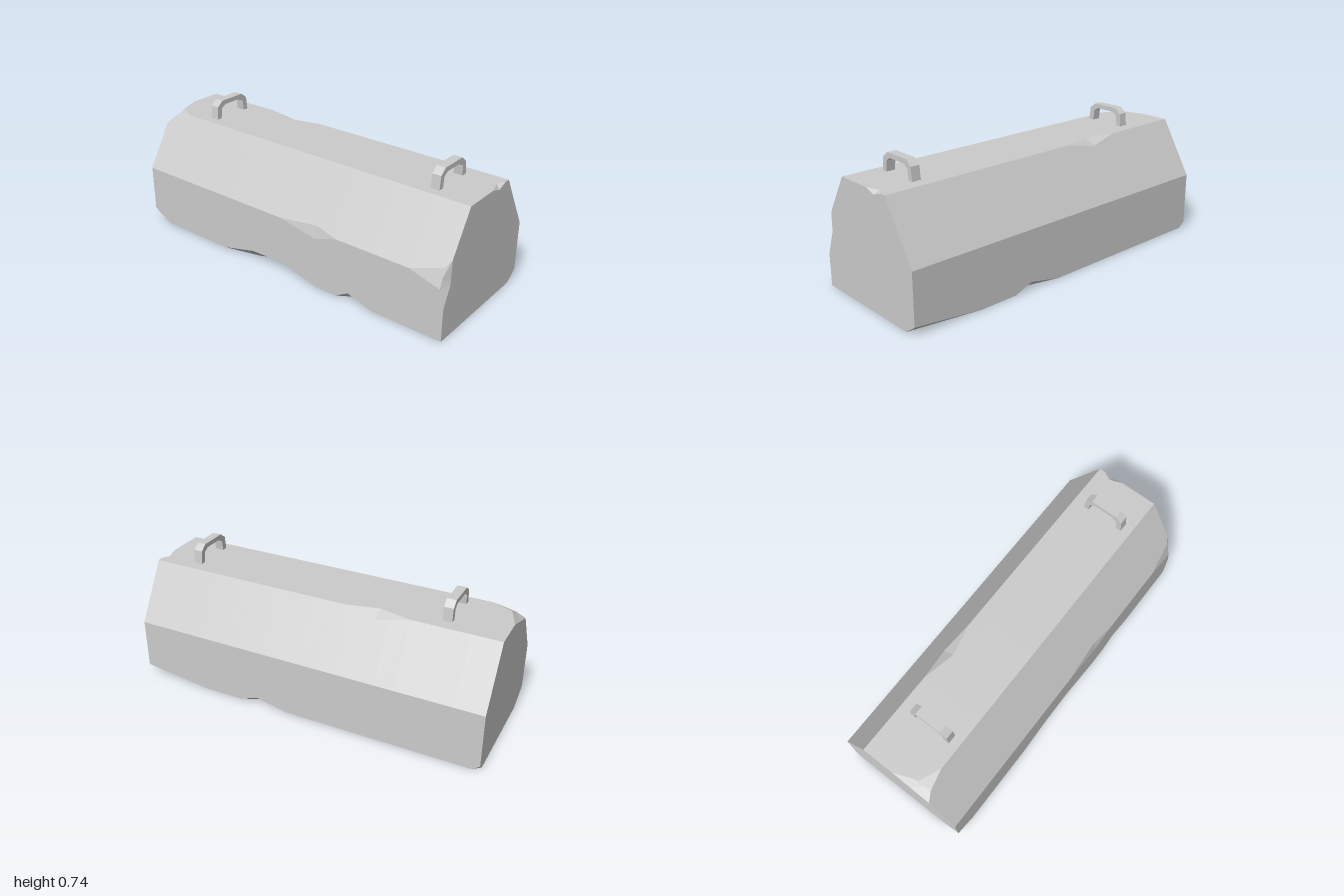
import * as THREE from 'three';

const material = () => new THREE.MeshStandardMaterial({ color: 0xcccccc, flatShading: true, side: THREE.DoubleSide });

// Corners of the cross-section as [z, y]. Each has chips listed along x as
// [x, cut towards previous corner, cut towards next corner, extra depth].
const corners = [
  { at: [0.367, 0], chips: [ // front bottom
    [-1, 0.13, 0.065, 0], [-0.88, 0, 0, 0], [-0.42, 0, 0, 0], [-0.2, 0.055, 0.055, 0], [-0.1, 0.1, 0.058, 0],
    [0, 0.07, 0.06, 0], [0.25, 0, 0, 0], [0.37, 0, 0, 0], [0.45, 0.05, 0.045, 0], [0.6, 0, 0, 0]] },
  { at: [0.367, 0.33], chips: [ // front ridge
    [0, 0, 0, 0], [0.24, 0.045, 0.03, 0], [0.37, 0, 0, 0],
    [0.8, 0, 0, 0], [0.975, 0.05, 0.06, 0], [1, 0.15, 0.105, 0.025]] },
  { at: [0.18, 0.64], chips: [ // front top
    [-1, 0.085, 0.18, 0], [-0.95, 0.04, 0.05, 0], [-0.84, 0, 0, 0]] },
  { at: [-0.105, 0.64], chips: [ // end edge of the top face
    [0.975, 0, 0, 0], [1, 0.075, 0.045, 0.02]] },
  { at: [-0.183, 0.64], chips: [ // back top
    [-0.53, 0, 0, 0], [-0.35, 0.04, 0.04, 0], [-0.17, 0, 0, 0]] },
  { at: [-0.367, 0.33], chips: [] }, // back ridge
  { at: [-0.367, 0], chips: [ // back bottom
    [-1, 0.03, 0.035, 0], [-0.96, 0, 0, 0], [0.08, 0, 0, 0], [0.27, 0.04, 0.05, 0], [0.38, 0, 0, 0],
    [0.6, 0, 0, 0], [1, 0.05, 0.07, 0]] },
];

// Chip sizes of one corner at a given x
function chipAt(chips, x) {
  for (let i = 0; i < chips.length; i++) {
    if (chips[i][0] === x) return chips[i].slice(1);
    const next = chips[i + 1];
    if (next && chips[i][0] < x && x < next[0]) {
      const t = (x - chips[i][0]) / (next[0] - chips[i][0]);
      return [1, 2, 3].map((k) => THREE.MathUtils.lerp(chips[i][k], next[k], t));
    }
  }
  return [0, 0, 0];
}

// Cross-section at x: three points per corner (cut start, middle, cut end)
function section(x) {
  const points = corners.map((c) => new THREE.Vector2(...c.at));
  const n = points.length;
  return points.flatMap((p, i) => {
    const [a, b, depth] = chipAt(corners[i].chips, x);
    const toPrev = points[(i + n - 1) % n].clone().sub(p).normalize();
    const toNext = points[(i + 1) % n].clone().sub(p).normalize();
    const inward = new THREE.Vector2(toPrev.y - toNext.y, toNext.x - toPrev.x).normalize();
    const start = p.clone().addScaledVector(toPrev, a);
    const end = p.clone().addScaledVector(toNext, b);
    const middle = start.clone().lerp(end, 0.5).addScaledVector(inward, depth);
    return [start, middle, end];
  });
}

function blockGeometry() {
  const xs = [...new Set([-1, 1, ...corners.flatMap((c) => c.chips.map((k) => k[0]))])].sort((a, b) => a - b);
  const loops = xs.map(section);
  const n = loops[0].length;
  const positions = [];
  const put = (s, i) => positions.push(xs[s], loops[s][i].y, loops[s][i].x);

  // Long sides
  for (let s = 0; s < xs.length - 1; s++) {
    for (let i = 0; i < n; i++) {
      const j = (i + 1) % n;
      [[s, i], [s + 1, i], [s + 1, j], [s, i], [s + 1, j], [s, j]].forEach(([a, b]) => put(a, b));
    }
  }
  // End faces
  for (const s of [0, xs.length - 1]) {
    const loop = loops[s];
    for (const [a, b, c] of THREE.ShapeUtils.triangulateShape(loop.slice(), [])) {
      const ccw = loop[b].clone().sub(loop[a]).cross(loop[c].clone().sub(loop[a])) > 0;
      const flip = ccw === (s > 0);
      (flip ? [a, c, b] : [a, b, c]).forEach((i) => put(s, i));
    }
  }
  const geometry = new THREE.BufferGeometry();
  geometry.setAttribute('position', new THREE.Float32BufferAttribute(positions, 3));
  geometry.computeVertexNormals();
  return geometry;
}

// Angular lifting loop, drawn as [z, y] and extruded along x
function handleGeometry(width) {
  const outline = [
    [0.13, 0.635], [0.122, 0.712], [0.084, 0.742], [-0.07, 0.742], [-0.107, 0.712], [-0.115, 0.635],
    [-0.085, 0.635], [-0.079, 0.698], [-0.05, 0.716], [0.063, 0.716], [0.092, 0.698], [0.099, 0.635],
  ];
  const shape = new THREE.Shape(outline.map((p) => new THREE.Vector2(...p)));
  return new THREE.ExtrudeGeometry(shape, { depth: width, bevelEnabled: false })
    .translate(0, 0, -width / 2)
    .rotateY(-Math.PI / 2);
}

export function createModel() {
  const model = new THREE.Group();
  model.name = 'concreteBlock';

  const block = new THREE.Mesh(blockGeometry(), material());
  block.name = 'chippedBlock';
  model.add(block);

  // Two lifting handles on top
  const handle = handleGeometry(0.05);
  for (const [name, x] of [['rightHandle', -0.695], ['leftHandle', 0.777]]) {
    const mesh = new THREE.Mesh(handle, material());
    mesh.name = name;
    mesh.position.x = x;
    model.add(mesh);
  }
  return model;
}
